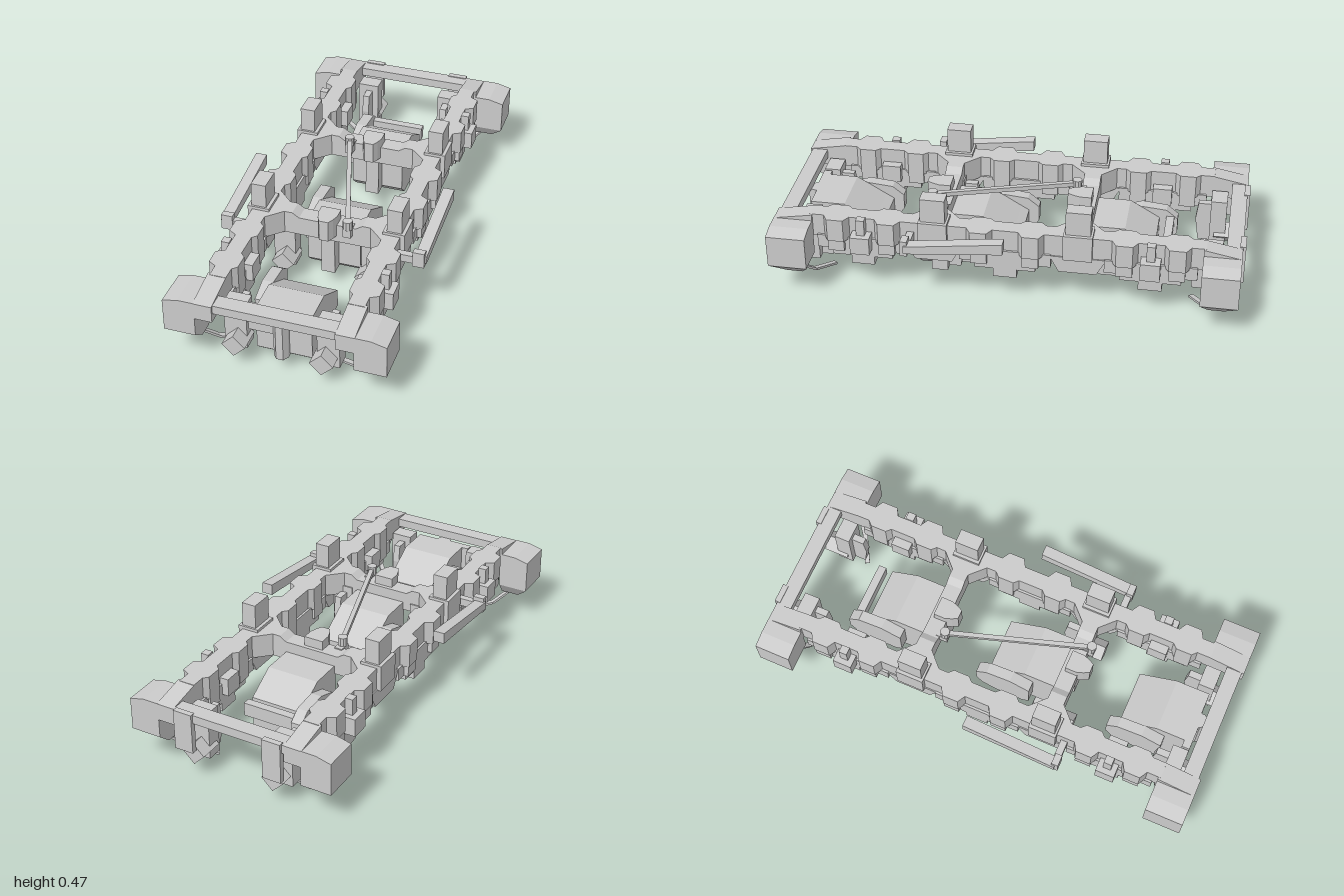
import * as THREE from 'three';
import { ConvexGeometry } from 'three/addons/geometries/ConvexGeometry.js';

const mat = new THREE.MeshStandardMaterial({ color: 0xcccccc, flatShading: true });

export function createModel() {
  const root = new THREE.Group();

  const add = (name, geo) => {
    const m = new THREE.Mesh(geo, mat);
    m.name = name;
    root.add(m);
    return m;
  };
  // Box given by its limits on each axis
  const box = (name, x0, x1, y0, y1, z0, z1) => {
    const g = new THREE.BoxGeometry(Math.abs(x1 - x0), y1 - y0, Math.abs(z1 - z0));
    g.translate((x0 + x1) / 2, (y0 + y1) / 2, (z0 + z1) / 2);
    add(name, g);
  };
  const shapeOf = pts => new THREE.Shape(pts.map(p => new THREE.Vector2(p[0], p[1])));
  // Profile of [z, y] points, extruded from x0 to x1
  const sideProfile = (name, pts, x0, x1) => {
    const g = new THREE.ExtrudeGeometry(shapeOf(pts.map(([z, y]) => [-z, y])), { depth: Math.abs(x1 - x0), bevelEnabled: false });
    g.rotateY(Math.PI / 2);
    g.translate(Math.min(x0, x1), 0, 0);
    add(name, g);
  };
  // Plan of [x, z] points, extruded from y0 to y1
  const plan = (name, pts, y0, y1) => {
    const g = new THREE.ExtrudeGeometry(shapeOf(pts.map(([x, z]) => [x, -z])), { depth: y1 - y0, bevelEnabled: false });
    g.rotateX(-Math.PI / 2);
    g.translate(0, y0, 0);
    add(name, g);
  };
  const hull = (name, pts) => add(name, new ConvexGeometry(pts.map(p => new THREE.Vector3(...p))));
  // Straight bar with a rectangular section between two points
  const bar = (name, a, b, w, h) => {
    const A = new THREE.Vector3(...a), B = new THREE.Vector3(...b);
    const m = add(name, new THREE.BoxGeometry(w, h, A.distanceTo(B)));
    m.position.copy(A).add(B).multiplyScalar(0.5);
    m.lookAt(B);
  };

  const axles = [-0.615, 0, 0.615];
  const transoms = [-0.308, 0.308];

  for (const s of [-1, 1]) {
    // Side frame with widened guides beside every axle
    const outer = [[0.325, -0.84]], inner = [[0.255, -0.84]];
    for (const a of axles) for (const c of [a - 0.11, a + 0.11]) {
      outer.push([0.325, c - 0.055], [0.36, c - 0.035], [0.36, c + 0.035], [0.325, c + 0.055]);
      inner.push([0.255, c - 0.055], [0.235, c - 0.035], [0.235, c + 0.035], [0.255, c + 0.055]);
    }
    outer.push([0.325, 0.84]);
    inner.push([0.255, 0.84]);
    plan('sideFrame', [...outer, ...inner.reverse()].map(([x, z]) => [s * x, z]), 0.24, 0.345);

    for (const a of axles) {
      // Stepped axle box and its spring guides
      const steps = [[0.195, 0.25], [0.195, 0.19], [0.13, 0.19], [0.13, 0.16], [0.05, 0.16], [0.05, 0.12]];
      sideProfile('axleBoxGuide', [...steps.map(([z, y]) => [a - z, y]), ...steps.reverse().map(([z, y]) => [a + z, y])], s * 0.245, s * 0.335);
      for (const c of [-0.11, 0.11])
        box('springGuide', s * 0.235, s * 0.355, 0.19, 0.24, a + c - 0.035, a + c + 0.035);
      // Vertical dampers beside the outer axles
      if (a !== 0) {
        box('axleBox', s * 0.215, s * 0.385, 0.2, 0.28, a - 0.042, a + 0.042);
        box('axleDamper', s * 0.325, s * 0.36, 0.2, 0.353, a - 0.018, a + 0.018);
      }
    }

    for (const t of transoms) {
      // Body support post on its base, with a bracket under the frame
      box('supportBase', s * 0.25, s * 0.345, 0.24, 0.358, t - 0.062, t + 0.062);
      box('supportPost', s * 0.265, s * 0.33, 0.35, 0.467, t - 0.053, t + 0.053);
      sideProfile('frameBracket', [[t - 0.12, 0.245], [t - 0.08, 0.17], [t + 0.08, 0.17], [t + 0.12, 0.245]], s * 0.25, s * 0.33);
    }

    // Sloping damper and its mounting arm
    sideProfile('damper', [[-0.01, 0.31], [0.41, 0.27], [0.41, 0.305], [-0.01, 0.36]], s * 0.403, s * 0.452);
    box('damperArm', s * 0.31, s * 0.44, 0.265, 0.3, 0.39, 0.42);
    box('damperMount', s * 0.395, s * 0.445, 0.255, 0.325, 0.395, 0.425);

    for (const e of [-1, 1]) {
      // Tapered frame end and corner box with chamfered underside
      const end = e > 0 ? 0.998 : -0.988, back = e * 0.83;
      sideProfile('frameEnd', [[back, 0.24], [end, 0.24], [end, 0.315], [back, 0.345]], s * 0.255, s * 0.335);
      hull('cornerBox', [
        ...[end, back].flatMap(z => [
          [s * 0.33, 0.155, z], [s * 0.465, 0.155, z], [s * 0.465, 0.3, z], [s * 0.4, 0.316, z], [s * 0.33, 0.316, z]]),
        ...[0.93, 0.865].flatMap(z => [[s * 0.33, 0.105, e * z], [s * 0.413, 0.105, e * z]])]);

      // Bent guard strip curving inward below the corner
      const g = [[0.365, 0.11, 0.9], [0.295, 0.043, 0.845], [0.185, 0.006, 0.785]].map(([x, y, z]) => [s * x, y, e * z]);
      bar('guardStrip', g[0], g[1], 0.022, 0.01);
      bar('guardStrip', g[1], g[2], 0.022, 0.01);
    }

    // Brake units: housing, square cylinder and shoe
    for (const [z, d] of [[0.87, 1], [0.3, 1], [-0.87, -1]]) {
      box('brakeHousing', s * 0.148, s * 0.243, 0.062, 0.28, z - 0.035, z + 0.035);
      const c = add('brakeCylinder', new THREE.BoxGeometry(0.07, 0.07, 0.11));
      c.rotation.z = Math.PI / 4;
      c.position.set(s * 0.185, 0.11, z + d * 0.04);
      sideProfile('brakeShoe', [[0.03, 0.25], [0.09, 0.25], [0.1, 0.17], [0.085, 0.065], [0.03, 0.065]]
        .map(([u, y]) => [z - d * u, y]), s * 0.175, s * 0.205);
    }
    box('rearPlate', s * 0.163, s * 0.247, 0.14, 0.32, -1, -0.975);
  }

  // End beams
  for (const e of [-1, 1]) box('endBeam', -0.26, 0.26, 0.277, 0.316, e * 0.92, e * 0.988);

  for (const t of transoms) {
    // Transom: dipped middle and flared ends
    const g = new THREE.ExtrudeGeometry(shapeOf([[-0.26, 0.24], [0.26, 0.24], [0.26, 0.345], [0.155, 0.345], [0.125, 0.325],
      [-0.125, 0.325], [-0.155, 0.345], [-0.26, 0.345]]), { depth: 0.074, bevelEnabled: false });
    g.translate(0, 0, t - 0.037);
    add('transom', g);
    for (const s of [-1, 1])
      plan('transomFlare', [[0.19, -0.037], [0.255, -0.1], [0.255, 0.1], [0.19, 0.037]].map(([x, z]) => [s * x, t + z]), 0.24, 0.345);
    // Nose bracket carrying the motor
    plan('noseBracket', [[-0.043, t - 0.02], [0.043, t - 0.02], [0.043, t + 0.03], [0.033, t + 0.06], [0.02, t + 0.085],
      [-0.02, t + 0.085], [-0.033, t + 0.06], [-0.043, t + 0.03]], 0.27, 0.367);
    box('noseHanger', -0.03, 0.03, 0.065, 0.28, t - 0.03, t + 0.03);
  }

  for (const a of axles) {
    // Traction motor and offset gear case; the rear motor has a separate bar behind it
    const tail = a < 0 ? [[0, 0.2]] : [[0, 0.2], [-0.035, 0.18], [-0.035, 0.1], [0, 0.1]];
    sideProfile('motor', [...tail, [0, 0.032], [0.235, 0.032], [0.28, 0.075], [0.28, 0.277], [0.13, 0.277]]
      .map(([z, y]) => [z + a, y]), -0.11, 0.125);
    sideProfile('gearCase', [[-0.08, 0.13], [-0.05, 0.09], [0.02, 0.07], [0.14, 0.07], [0.17, 0.09], [0.17, 0.22], [0.08, 0.25], [-0.03, 0.24], [-0.08, 0.2]]
      .map(([z, y]) => [z + a, y]), -0.158, -0.11);
  }
  box('rearMotorBar', -0.11, 0.125, 0.15, 0.21, -0.68, -0.645);
  box('frontMotorCover', -0.14, -0.02, 0.165, 0.277, 0.87, 0.905);
  plan('frontNose', [[-0.033, 0.88], [0.03, 0.88], [0.03, 0.91], [0.015, 0.935], [-0.015, 0.935], [-0.033, 0.91]], 0.065, 0.277);

  // Diagonal link between the transoms with pivot discs
  const p = [[-0.097, 0.348, -0.25], [0.094, 0.348, 0.355]];
  bar('diagonalLink', p[0], p[1], 0.02, 0.02);
  for (const q of p) {
    const m = add('linkPivot', new THREE.CylinderGeometry(0.021, 0.021, 0.04, 10));
    m.position.set(...q);
    box('linkBracket', q[0] - 0.018, q[0] + 0.018, 0.29, 0.33, q[2] - 0.04, q[2] + 0.015);
  }

  return root;
}
